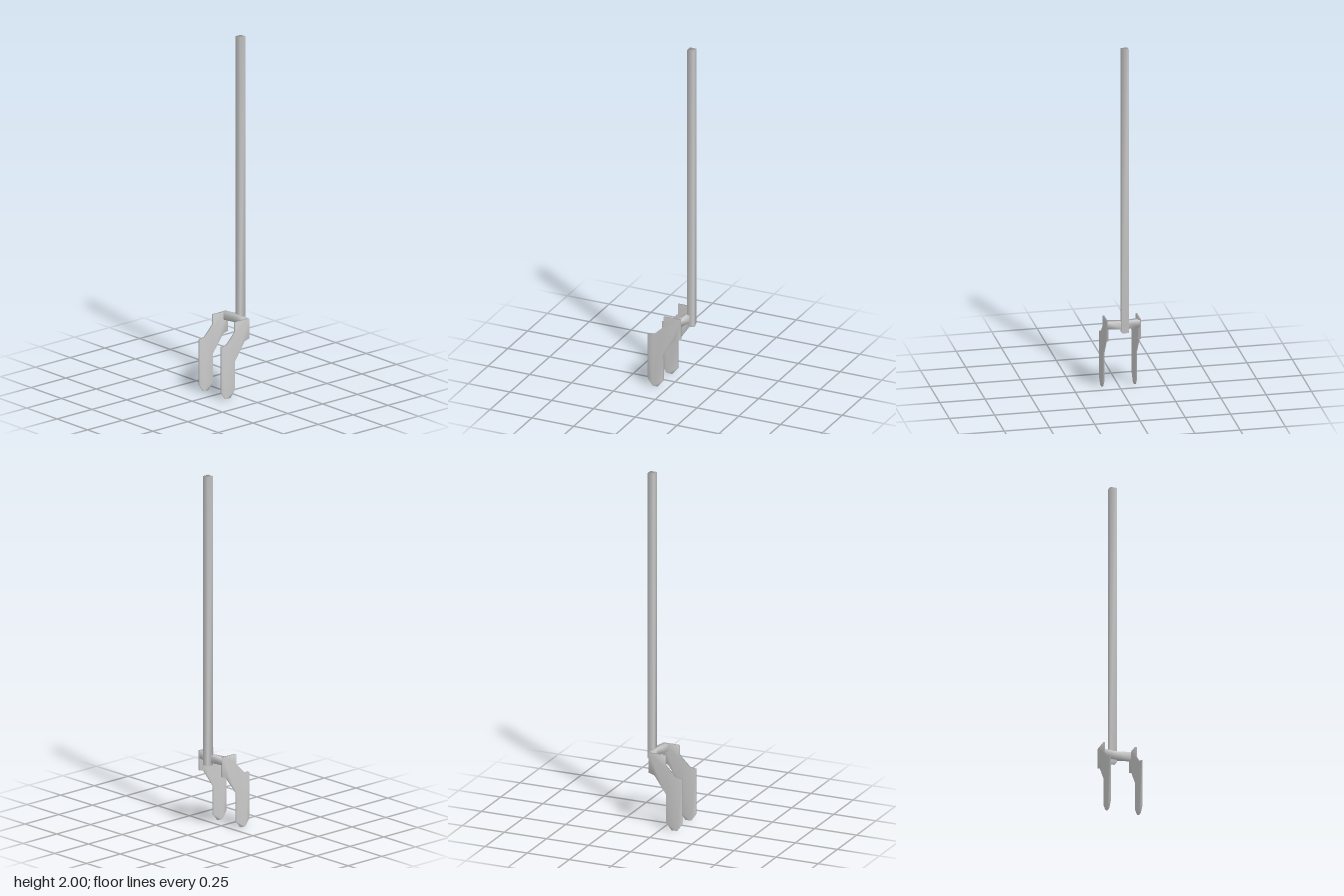
import * as THREE from 'three';
import { mergeVertices } from 'three/addons/utils/BufferGeometryUtils.js';

const material = new THREE.MeshStandardMaterial({ color: 0xcccccc });

// Weld corners so the shading blends softly over the edges
function soften(geometry) {
  geometry.deleteAttribute('normal');
  geometry.deleteAttribute('uv');
  const welded = mergeVertices(geometry, 1e-4);
  welded.computeVertexNormals();
  return welded;
}

function extrude(points, depth) {
  const shape = new THREE.Shape(points.map(([x, y]) => new THREE.Vector2(x, y)));
  return new THREE.ExtrudeGeometry(shape, { depth, bevelEnabled: false });
}

function part(name, geometry) {
  const mesh = new THREE.Mesh(soften(geometry), material);
  mesh.name = name;
  return mesh;
}

export function createModel() {
  const group = new THREE.Group();
  group.name = 'twoProngedPole';

  // Long square pole
  const pole = part('pole', new THREE.BoxGeometry(0.038, 1.635, 0.038));
  pole.position.set(0.1, 1.1825, -0.001);
  group.add(pole);

  // Bent yoke joining the two prongs
  const yoke = extrude([
    [0.046, -0.09], [0.078, -0.09], [0.098, 0], [0.078, 0.09], [0.046, 0.09], [0.065, 0],
  ], 0.042);
  yoke.rotateX(-Math.PI / 2).translate(0, 0.379, 0);
  group.add(part('yoke', yoke));

  // Flat stepped prongs
  const outline = [
    [-0.09, 0], [-0.058, 0], [-0.025, 0.04], [-0.025, 0.2], [0.044, 0.3], [0.078, 0.31],
    [0.078, 0.422], [-0.022, 0.422], [-0.022, 0.367], [-0.045, 0.342], [-0.083, 0.306],
    [-0.119, 0.3], [-0.119, 0.04],
  ];
  const frontProng = extrude(outline, 0.01).translate(0, 0, 0.0855);
  group.add(part('frontProng', frontProng));

  const backProng = extrude(outline, 0.01).translate(0, 0, -0.0955);
  // The back prong thickens inward toward the yoke
  const p = backProng.attributes.position;
  for (let i = 0; i < p.count; i++) {
    if (p.getX(i) > 0.03 && p.getZ(i) > -0.09) p.setZ(i, -0.0805);
  }
  group.add(part('backProng', backProng));

  return group;
}
